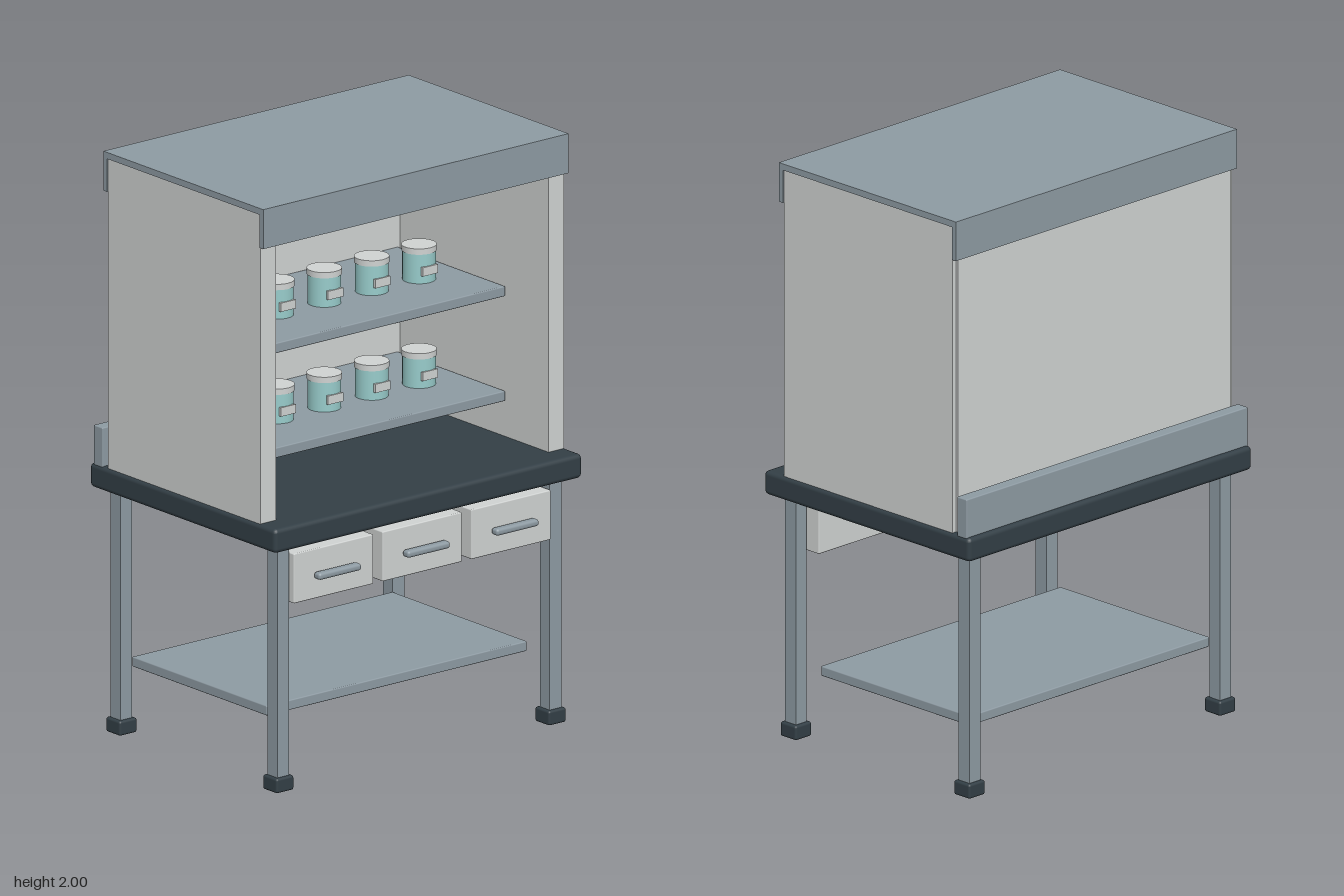
import * as THREE from 'three';
import { RoundedBoxGeometry } from 'three/addons/geometries/RoundedBoxGeometry.js';

const mat = (name, color) => {
  const m = new THREE.MeshStandardMaterial({ color });
  m.name = name;
  return m;
};

export function createModel() {
  const steel = mat('steel', 0x8e9ba3);
  const panel = mat('pale panel', 0xd0d3d2);
  const dark = mat('dark top', 0x333f46);
  const teal = mat('teal', 0x98cccb);
  const model = new THREE.Group();
  model.name = 'workbenchCabinet';

  const add = (name, geometry, material, x = 0, y = 0, z = 0, parent = model) => {
    const mesh = new THREE.Mesh(geometry, material);
    mesh.name = name;
    mesh.position.set(x, y, z);
    parent.add(mesh);
    return mesh;
  };
  // Box given by its limits on each axis; a radius rounds its edges
  const box = (name, material, [x0, x1], [y0, y1], [z0, z1], radius = 0, parent = model) => {
    const s = [x1 - x0, y1 - y0, z1 - z0];
    const g = radius ? new RoundedBoxGeometry(...s, 2, radius) : new THREE.BoxGeometry(...s);
    return add(name, g, material, (x0 + x1) / 2, (y0 + y1) / 2, (z0 + z1) / 2, parent);
  };

  // Bench: worktop, legs, feet, low shelf and splash rail
  box('worktop', dark, [-0.65, 0.65], [0.838, 0.92], [-0.476, 0.476], 0.015);
  for (const sx of [-1, 1]) {
    for (const sz of [-1, 1]) {
      add('leg', new THREE.BoxGeometry(0.05, 0.8, 0.05), steel, sx * 0.575, 0.445, sz * 0.402);
      add('foot', new RoundedBoxGeometry(0.074, 0.05, 0.074, 2, 0.008), dark, sx * 0.575, 0.027, sz * 0.402);
    }
  }
  box('lowerShelf', steel, [-0.55, 0.55], [0.226, 0.26], [-0.378, 0.312], 0.004);
  box('splashRail', steel, [-0.645, 0.645], [0.915, 1.052], [-0.46, -0.414], 0.004);

  // Drawers with bar handles
  for (const x of [-0.375, 0, 0.375]) {
    const drawer = new THREE.Group();
    drawer.name = 'drawer';
    drawer.position.x = x;
    model.add(drawer);
    box('drawerBox', panel, [-0.168, 0.168], [0.64, 0.81], [0.328, 0.443], 0.004, drawer);
    box('drawerHandle', steel, [-0.09, 0.09], [0.711, 0.735], [0.447, 0.48], 0.01, drawer);
    for (const sx of [-1, 1]) {
      box('handlePost', steel, [sx * 0.065 - 0.008, sx * 0.065 + 0.008], [0.716, 0.73], [0.44, 0.46], 0, drawer);
    }
  }

  // Cabinet walls
  for (const sx of [-1, 1]) {
    add('sidePanel', new THREE.BoxGeometry(0.066, 1.07, 0.782), panel, sx * 0.608, 1.447, 0);
  }
  box('backPanel', panel, [-0.625, 0.625], [0.912, 1.982], [-0.4, -0.37]);

  // Lid with front and back aprons
  box('lid', steel, [-0.645, 0.645], [1.978, 2], [-0.41, 0.41]);
  box('frontApron', steel, [-0.645, 0.645], [1.865, 1.99], [0.391, 0.41]);
  box('backApron', steel, [-0.645, 0.645], [1.865, 1.99], [-0.41, -0.391]);
  box('lightBar', teal, [-0.52, 0.52], [1.822, 1.85], [-0.02, 0.02], 0.008);
  box('lightMount', steel, [-0.48, 0.48], [1.848, 1.98], [-0.012, 0.012]);

  // Shelves with rows of lidded jars
  const bodyGeo = new THREE.CylinderGeometry(0.055, 0.055, 0.102, 24);
  const lidGeo = new THREE.CylinderGeometry(0.058, 0.058, 0.02, 24);
  const labelGeo = new THREE.BoxGeometry(0.064, 0.03, 0.009);
  for (const y of [1.08, 1.438]) {
    box('shelf', steel, [-0.567, 0.567], [y - 0.035, y], [-0.372, 0.18], 0.004);
    for (let i = -2; i <= 2; i++) {
      const jar = new THREE.Group();
      jar.name = 'jar';
      jar.position.set(i * 0.2, y, -0.06);
      model.add(jar);
      add('jarBody', bodyGeo, teal, 0, 0.051, 0, jar);
      add('jarLid', lidGeo, panel, 0, 0.11, 0, jar);
      add('jarLabel', labelGeo, panel, 0, 0.043, 0.054, jar);
    }
  }
  return model;
}
